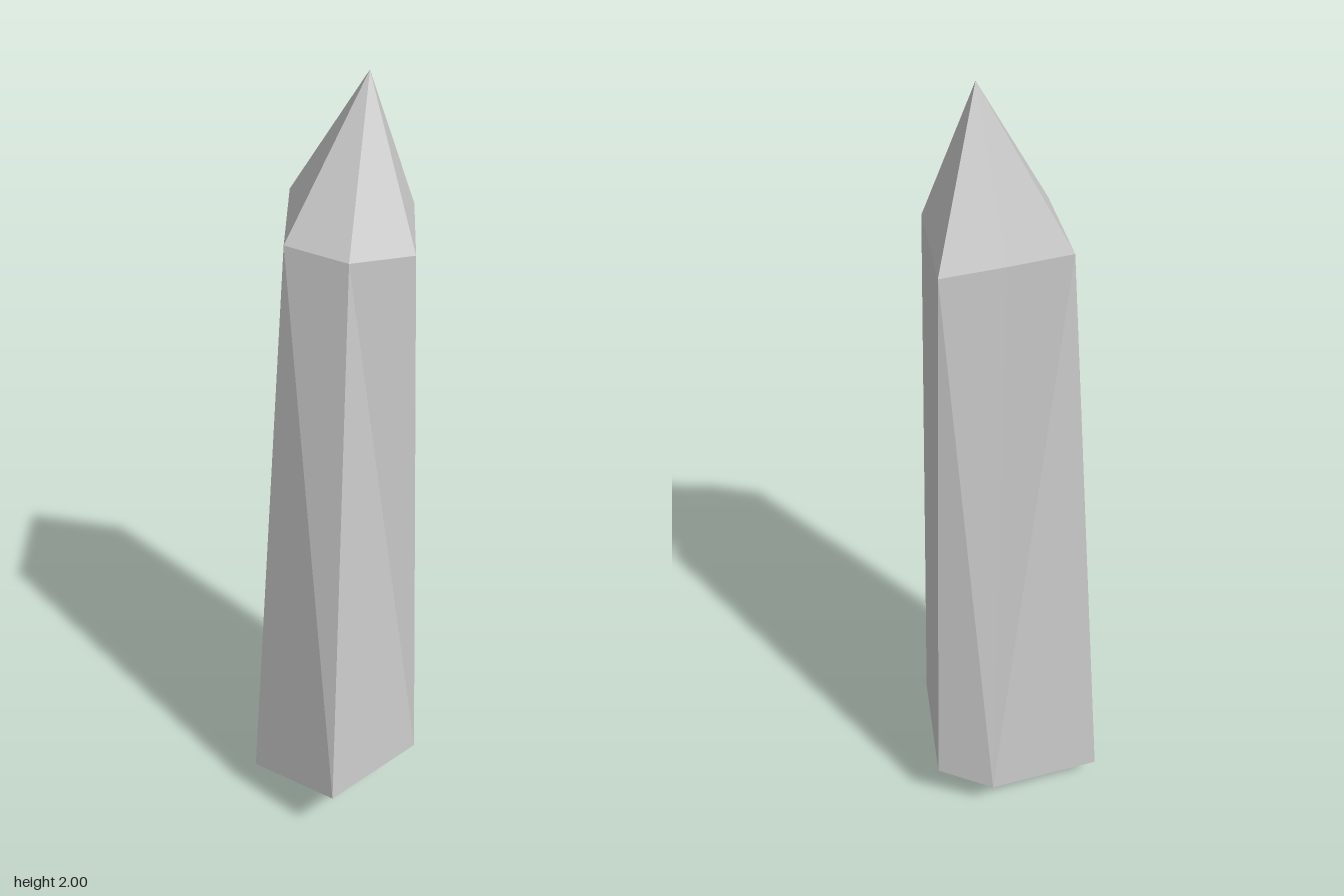
import * as THREE from 'three';

// Six corners of each ring, counter-clockwise seen from above, starting front left
const apex = [0.07, 2, -0.05];
const base = [-0.012, 0, -0.03];
const upper = [
  [-0.113, 1.655, 0.085], [0.03, 1.643, 0.15], [0.175, 1.635, 0.088],
  [0.178, 1.635, -0.2], [0.032, 1.65, -0.201], [-0.113, 1.668, -0.203],
];
const lower = [
  [-0.22, 0.105, 0.082], [-0.005, 0.165, 0.267], [0.213, 0.17, 0.068],
  [0.22, 0.13, -0.212], [0.081, 0.1, -0.27], [-0.215, 0.065, -0.2],
];

function facetMesh(name, triangles) {
  const geometry = new THREE.BufferGeometry();
  geometry.setAttribute('position', new THREE.Float32BufferAttribute(triangles.flat(2), 3));
  geometry.computeVertexNormals();
  const material = new THREE.MeshStandardMaterial({ color: 0xcccccc, flatShading: true });
  const mesh = new THREE.Mesh(geometry, material);
  mesh.name = name;
  return mesh;
}

export function createModel() {
  const tip = [], shaft = [], foot = [];
  for (let i = 0; i < 6; i++) {
    const j = (i + 1) % 6;
    const [u0, u1, l0, l1] = [upper[i], upper[j], lower[i], lower[j]];
    tip.push([u0, u1, apex]);
    foot.push([l1, l0, base]);
    // The two back facets fold towards their shared lower corner
    if (i === 4) shaft.push([l0, l1, u1], [l0, u1, u0]);
    else shaft.push([l0, l1, u0], [l1, u1, u0]);
  }

  const crystal = new THREE.Group();
  crystal.name = 'crystal';
  crystal.add(facetMesh('pointedTip', tip), facetMesh('shaft', shaft), facetMesh('pointedBase', foot));
  return crystal;
}
